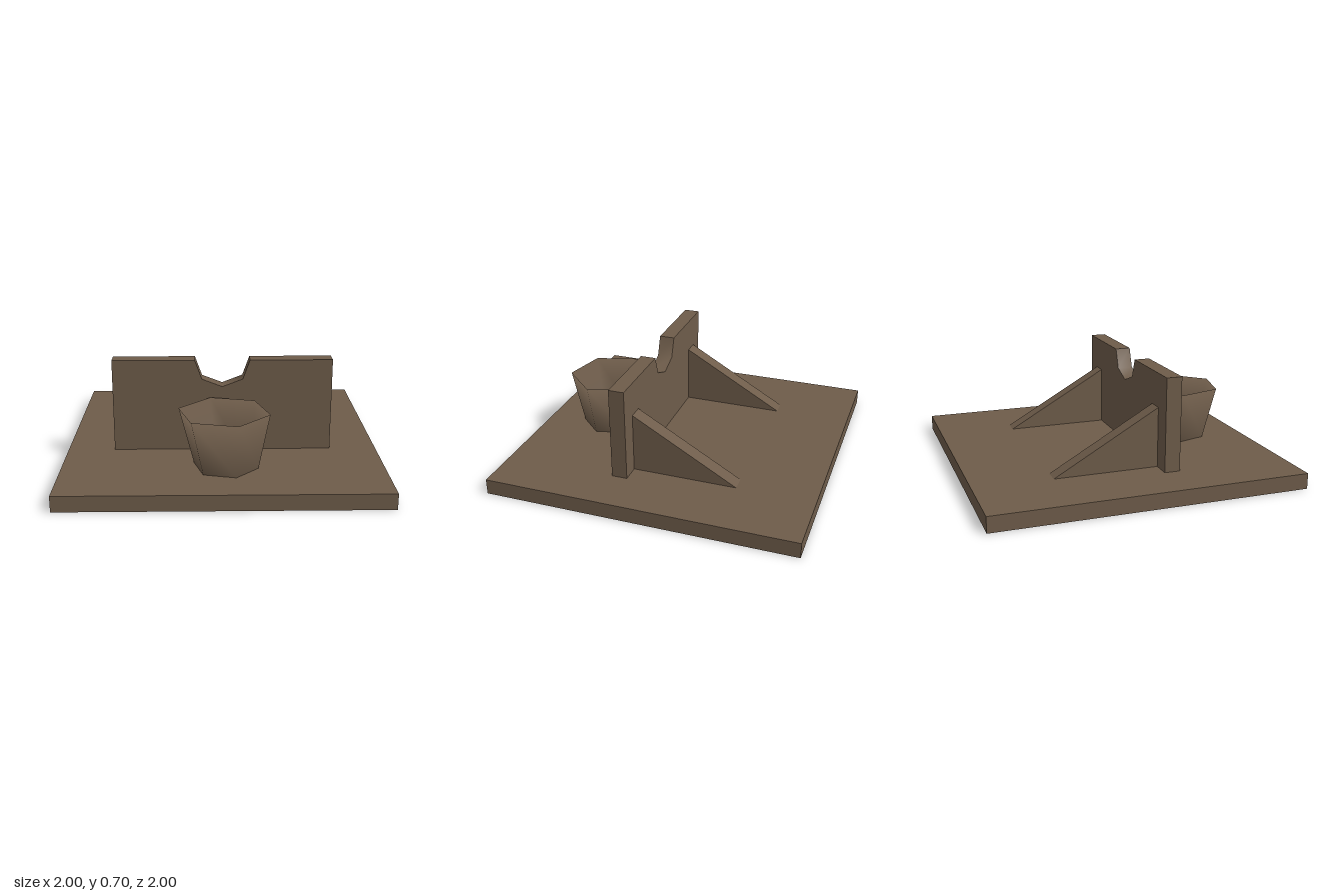
import * as THREE from 'three';
import { toCreasedNormals } from 'three/addons/utils/BufferGeometryUtils.js';

export function createModel() {
  const model = new THREE.Group();
  const brown = new THREE.MeshStandardMaterial({ color: 0x6e5c4a, side: THREE.DoubleSide });
  brown.name = 'brown';

  const add = (name, geometry, x = 0, y = 0, z = 0) => {
    const mesh = new THREE.Mesh(geometry, brown);
    mesh.name = name;
    mesh.position.set(x, y, z);
    model.add(mesh);
  };
  const extrude = (points, depth) => new THREE.ExtrudeGeometry(
    new THREE.Shape(points.map(([x, y]) => new THREE.Vector2(x, y))),
    { depth, bevelEnabled: false });

  // Base slab, open underneath: the downward face is left out
  const slab = new THREE.BoxGeometry(2, 0.1, 2);
  slab.setIndex([...slab.index.array].filter((_, i) => i < 18 || i >= 24));
  slab.clearGroups();
  add('base', slab, 0, 0.05, 0);

  // Upright wall with a rounded notch in its top edge
  const wall = extrude([
    [-0.7, 0.1], [0.7, 0.1], [0.7, 0.7],
    [0.175, 0.7], [0.13, 0.575], [0, 0.525], [-0.13, 0.575], [-0.175, 0.7],
    [-0.7, 0.7],
  ], 0.1);
  add('wall', toCreasedNormals(wall, 0.95), 0, 0, 0.175);

  // Triangular braces behind the wall
  const brace = extrude([[-0.5, 0.1], [0.175, 0.1], [0.175, 0.485]], 0.1);
  brace.rotateY(-Math.PI / 2);
  add('leftBrace', brace, 0.58);
  add('rightBrace', brace, -0.48);

  // Six-sided cup: outer wall up to a sharp rim, then the inner wall down
  const profile = [[0.205, 0.1], [0.287, 0.455], [0.187, 0.1]]
    .map(([r, y]) => new THREE.Vector2(r, y));
  const cup = new THREE.LatheGeometry(profile, 6, THREE.MathUtils.degToRad(16.5));
  const pos = cup.attributes.position;
  for (let i = 0; i < pos.count; i += profile.length) pos.setX(i, pos.getX(i) + 0.013);
  add('cup', cup, 0.005, 0, 0.557);

  return model;
}
